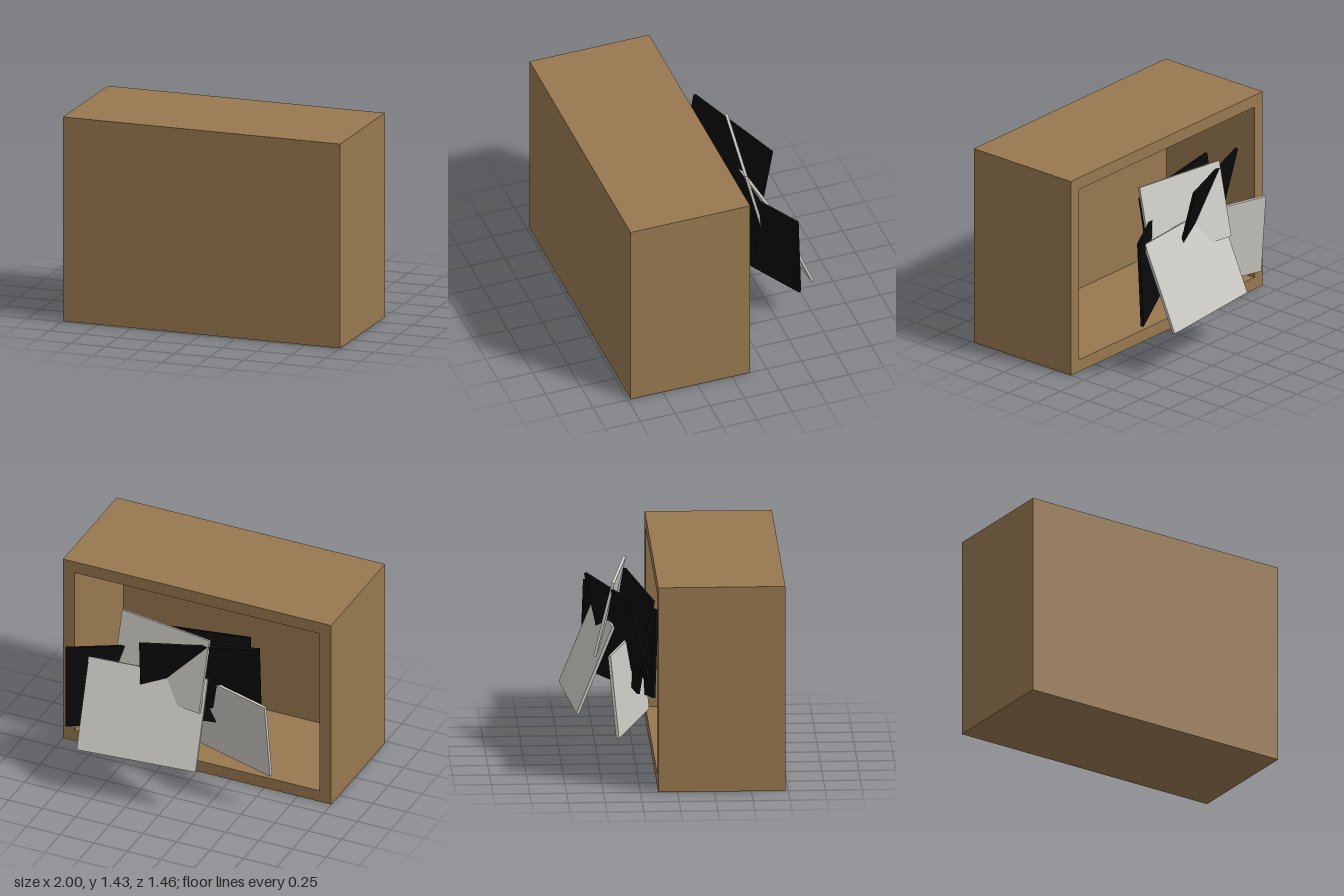
import * as THREE from 'three';

const mat = (name, color) => new THREE.MeshStandardMaterial({ name, color });

export function createModel() {
  const brown = mat('brown cardboard', 0x98784f);
  const pale = mat('pale grey', 0xcccac3);
  const black = mat('black', 0x0a0a0a);
  const model = new THREE.Group();
  model.name = 'openCase';

  const add = (name, geometry, material, parent = model) => {
    const mesh = new THREE.Mesh(geometry, material);
    mesh.name = name;
    parent.add(mesh);
    return mesh;
  };

  // Case: four walls as one rectangular ring, closed at the front, open at the back
  const W = 2, H = 1.43, wall = 0.087, back = -0.13, inner = 0.65, front = 0.73;
  const rect = (Type, x, y0, y1) => new Type([
    new THREE.Vector2(-x, y0), new THREE.Vector2(x, y0),
    new THREE.Vector2(x, y1), new THREE.Vector2(-x, y1),
  ]);
  const ring = rect(THREE.Shape, W / 2, 0, H);
  ring.holes.push(rect(THREE.Path, W / 2 - wall, wall, H - wall));
  const walls = new THREE.ExtrudeGeometry(ring, { depth: inner - back, bevelEnabled: false });
  add('caseWalls', walls.translate(0, 0, back), brown);
  const panel = new THREE.BoxGeometry(W, H, front - inner);
  add('frontPanel', panel.translate(0, H / 2, (front + inner) / 2), brown);

  // Loose sheet: a horizontal edge from p (low x) to q (high x), then a drop to the
  // opposite edge, given as height dy and lean (towards +z when positive)
  const thick = 0.02;
  const sheet = (name, material, p, q, dy, lean) => {
    const a = new THREE.Vector3(...p), b = new THREE.Vector3(...q);
    const ex = b.clone().sub(a);
    const width = ex.length();
    ex.normalize();
    const out = new THREE.Vector3(-ex.z, 0, ex.x);
    const side = out.multiplyScalar(lean).add(new THREE.Vector3(0, dy, 0));
    const height = side.length();
    const ey = side.clone().normalize().multiplyScalar(Math.sign(dy));
    const ez = ex.clone().cross(ey);
    const centre = a.add(b).add(side).multiplyScalar(0.5).addScaledVector(ez, thick / 2);
    const mesh = add(name, new THREE.BoxGeometry(width, height, thick), material, sheets);
    mesh.quaternion.setFromRotationMatrix(new THREE.Matrix4().makeBasis(ex, ey, ez));
    mesh.position.copy(centre);
  };

  // Scattered sheets floating behind the opening
  const sheets = new THREE.Group();
  sheets.name = 'looseSheets';
  model.add(sheets);
  sheet('outerPaleSheet', pale, [-0.23, 0.35, -0.65], [0.62, 0.35, -0.73], 0.598, 0.245);
  sheet('upperPaleSheet', pale, [-0.22, 1.26, -0.41], [0.48, 1.26, -0.30], -0.516, -0.125);
  sheet('lowerPaleSheet', pale, [-0.67, 0.29, -0.40], [0.10, 0.29, -0.16], 0.573, -0.058);
  sheet('sideBlackSheet', black, [-0.07, 0.41, -0.125], [0.77, 0.41, -0.58], 0.61, 0.025);
  sheet('outerBlackSheet', black, [-0.545, 1.21, -0.30], [0.225, 1.21, -0.577], -0.564, 0.13);
  sheet('innerBlackSheet', black, [-0.405, 1.18, -0.145], [0.47, 1.18, -0.30], -0.645, -0.105);

  return model;
}
